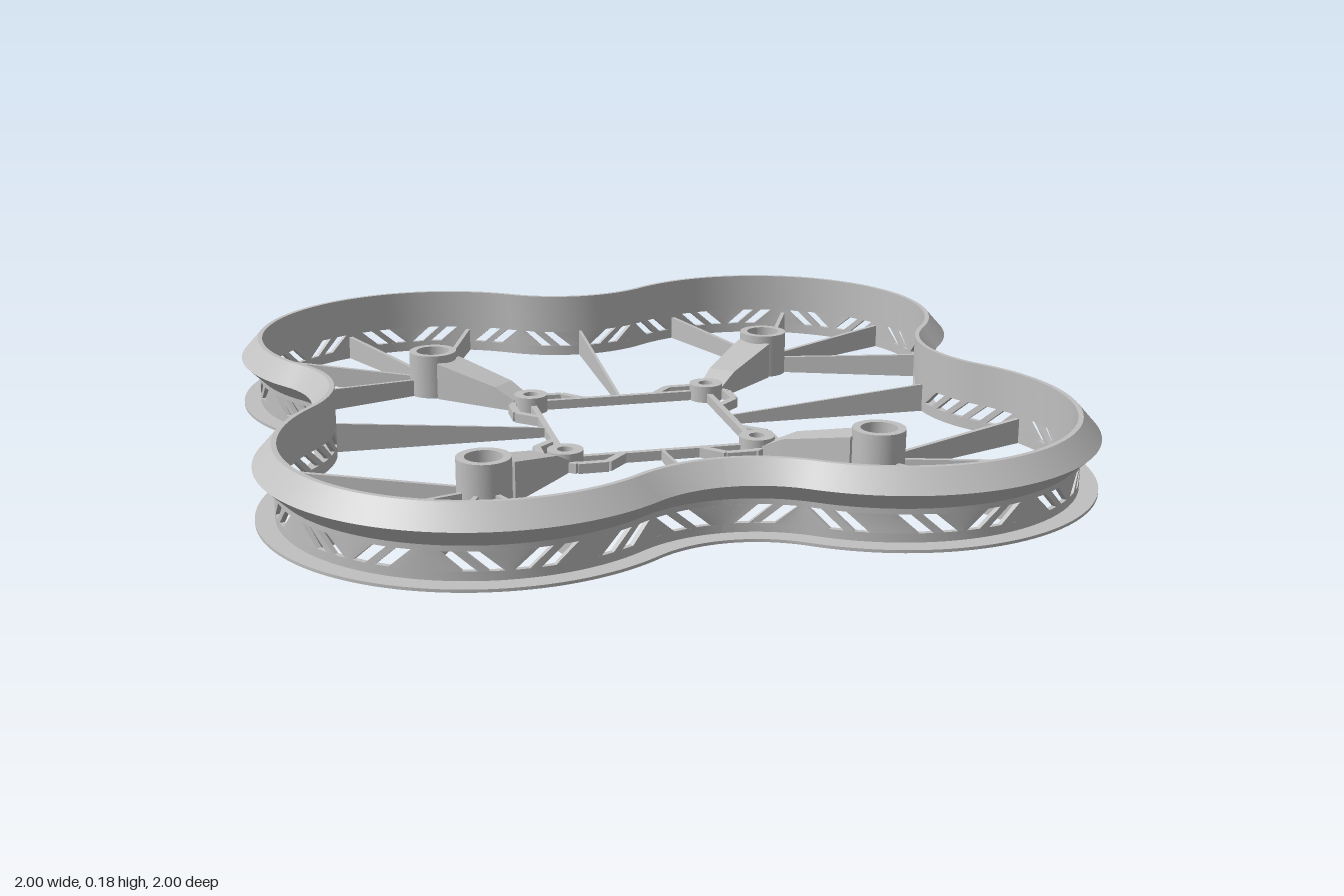
import * as THREE from 'three';
import { mergeGeometries } from 'three/addons/utils/BufferGeometryUtils.js';

const HUB = 0.48;              // rotor centre offset on x and z
const R = 0.475, F = 0.325;    // wall radius around a rotor, radius of the concave blend
const TURN = Math.atan2(0.6, 0.8);
const BLEND = F * TURN;
const LOBE = R * (Math.PI / 2 + 2 * TURN);
const QUARTER = 2 * BLEND + LOBE;
const LOOP = 4 * QUARTER;

// Point on the clover outline at arc length s, pushed outward by d
function outline(s, d) {
  s = ((s % LOOP) + LOOP) % LOOP;
  const q = Math.min(3, Math.floor(s / QUARTER));
  let t = s - q * QUARTER, x, z;
  const flip = t > QUARTER / 2;
  if (flip) t = QUARTER - t;
  if (t < BLEND) {
    const a = t / F, r = F - d;
    x = Math.sin(a) * r;
    z = 1.12 - Math.cos(a) * r;
  } else {
    const a = Math.PI / 2 + TURN - (t - BLEND) / R;
    x = HUB + Math.cos(a) * (R + d);
    z = HUB + Math.sin(a) * (R + d);
  }
  if (flip) [x, z] = [z, x];
  for (let i = 0; i < q; i++) [x, z] = [z, -x];
  return [x, z];
}

// Sweep a profile of [d, y] along the outline; bottom and top spans may differ (slanted ends)
function sweep(profile, bottom, top, steps, caps) {
  const ys = profile.map((p) => p[1]);
  const y0 = Math.min(...ys), y1 = Math.max(...ys);
  const pos = [], idx = [];
  const put = ([d, y], f) => {
    const k = (y - y0) / (y1 - y0);
    const a = bottom[0] + (top[0] - bottom[0]) * k;
    const b = bottom[1] + (top[1] - bottom[1]) * k;
    const [x, z] = outline(a + (b - a) * f, d);
    pos.push(x, y, z);
  };
  profile.forEach((p, j) => {
    const q = profile[(j + 1) % profile.length];
    const base = pos.length / 3;
    for (let i = 0; i <= steps; i++) {
      put(p, i / steps);
      put(q, i / steps);
      if (i < steps) {
        const a = base + 2 * i;
        idx.push(a, a + 2, a + 1, a + 1, a + 2, a + 3);
      }
    }
  });
  if (caps) for (const f of [0, 1]) {
    const b = pos.length / 3;
    profile.forEach((p) => put(p, f));
    if (f) idx.push(b, b + 2, b + 1, b, b + 3, b + 2);
    else idx.push(b, b + 1, b + 2, b, b + 2, b + 3);
  }
  const g = new THREE.BufferGeometry();
  g.setAttribute('position', new THREE.Float32BufferAttribute(pos, 3));
  g.setIndex(idx);
  g.computeVertexNormals();
  return g;
}

// Slanted window slots: [centre offset, lean of the top edge]
const L = 0.026;
const vee = [[-0.108, -L], [-0.052, -L], [0.052, L], [0.108, L]];
const chevron = vee.map(([o, l]) => [o, -l]);
const slashes = [-2, -1, 0, 1, 2].map((i) => [i * 0.055, -L]);

function slotList() {
  const slots = [], groups = [chevron, vee, vee, vee, slashes];
  for (let q = 0; q < 4; q++) for (let k = 0; k < 5; k++) {
    const c = q * QUARTER + (k + 0.5) * QUARTER / 5;
    const list = q % 2
      ? groups[4 - k].map(([o, l]) => [-o, -l])
      : groups[k];
    list.forEach(([o, l]) => slots.push([c + o, l]));
  }
  return slots.sort((a, b) => a[0] - b[0]);
}

export function createModel() {
  const model = new THREE.Group();
  model.name = 'rotorGuardFrame';
  const grey = new THREE.MeshStandardMaterial({ color: 0xc0c0c0 });
  grey.name = 'light grey plastic';

  const add = (name, geometry) => {
    const mesh = new THREE.Mesh(geometry, grey);
    mesh.name = name;
    model.add(mesh);
    return mesh;
  };

  // Straight bar standing on the ground; [width, height] given at each end
  const bar = (name, [x0, z0], [x1, z1], [w0, h0], [w1, h1]) => {
    const len = Math.hypot(x1 - x0, z1 - z0);
    const g = new THREE.BoxGeometry(1, 1, 1);
    const p = g.attributes.position;
    for (let i = 0; i < p.count; i++) {
      const end = p.getX(i) > 0;
      p.setXYZ(i, end ? len : 0, (p.getY(i) + 0.5) * (end ? h1 : h0), p.getZ(i) * (end ? w1 : w0));
    }
    g.computeVertexNormals();
    const m = add(name, g);
    m.position.set(x0, 0, z0);
    m.rotation.y = Math.atan2(z0 - z1, x1 - x0);
  };

  // Upright tube
  const tube = (name, x, z, outer, inner, height) => {
    const s = new THREE.Shape().absarc(0, 0, outer, 0, Math.PI * 2);
    s.holes.push(new THREE.Path().absarc(0, 0, inner, 0, Math.PI * 2, true));
    const g = new THREE.ExtrudeGeometry(s, { depth: height, bevelEnabled: false, curveSegments: 40 });
    add(name, g.rotateX(-Math.PI / 2)).position.set(x, 0, z);
  };

  // Guard ring: foot flange, windowed band, ridged upper rim
  const full = [0, LOOP], W = -0.012;
  add('footFlange', sweep([[W, 0], [0.045, 0], [0.045, 0.007], [0, 0.007], [0, 0.028], [W, 0.028]], full, full, 320));
  add('upperRim', sweep([[W, 0.072], [0, 0.072], [0, 0.085], [0.045, 0.13], [0, 0.18], [W, 0.18]], full, full, 320));
  const slots = slotList(), half = 0.016;
  const webs = slots.map(([c, l], i) => {
    const [pc, pl] = i ? slots[i - 1] : [slots.at(-1)[0] - LOOP, slots.at(-1)[1]];
    return sweep([[W, 0.028], [0, 0.028], [0, 0.072], [W, 0.072]],
      [pc - pl + half, c - l - half], [pc + pl + half, c + l - half], 6, true);
  });
  add('windowWebs', mergeGeometries(webs));

  const C = 0.245;             // corner post offset
  for (const sx of [1, -1]) for (const sz of [1, -1]) {
    const at = (x, z) => [sx * x, sz * z];

    // Motor mount, arm with a dropped inner end, and corner post
    tube('motorMount', sx * HUB, sz * HUB, 0.065, 0.045, 0.12);
    bar('armRoot', at(0.268, 0.268), at(0.31, 0.31), [0.068, 0.03], [0.078, 0.06]);
    bar('arm', at(0.31, 0.31), at(0.443, 0.443), [0.078, 0.06], [0.1, 0.1]);
    tube('cornerPost', sx * C, sz * C, 0.045, 0.02, 0.045);

    // Spokes from mount to guard ring
    for (const deg of [-20, 25, 65, 110]) {
      const a = deg * Math.PI / 180, c = Math.cos(a), s = Math.sin(a);
      bar('spoke', at(HUB + 0.06 * c, HUB + 0.06 * s), at(HUB + 0.468 * c, HUB + 0.468 * s), [0.012, 0.045], [0.012, 0.065]);
    }

    // Bent strap loops beside each corner post
    for (const swap of [false, true]) {
      const pts = [[0.1, 0.245], [0.15, 0.3], [0.225, 0.3], [0.268, 0.265]]
        .map(([x, z]) => (swap ? at(z, x) : at(x, z)));
      for (let i = 0; i < 3; i++) bar('strapLoop', pts[i], pts[i + 1], [0.02, 0.025], [0.02, 0.025]);
    }
  }

  // Central square and the struts out to the ring
  for (let i = 0; i < 4; i++) {
    const c = Math.round(Math.cos(i * Math.PI / 2)), s = Math.round(Math.sin(i * Math.PI / 2));
    const at = (u, v) => [c * u - s * v, s * u + c * v];
    bar('centreSide', at(C, -C + 0.035), at(C, C - 0.035), [0.016, 0.025], [0.016, 0.025]);
    bar('strut', at(C, 0), at(0.79, 0), [0.008, 0.025], [0.008, 0.075]);
  }
  return model;
}
